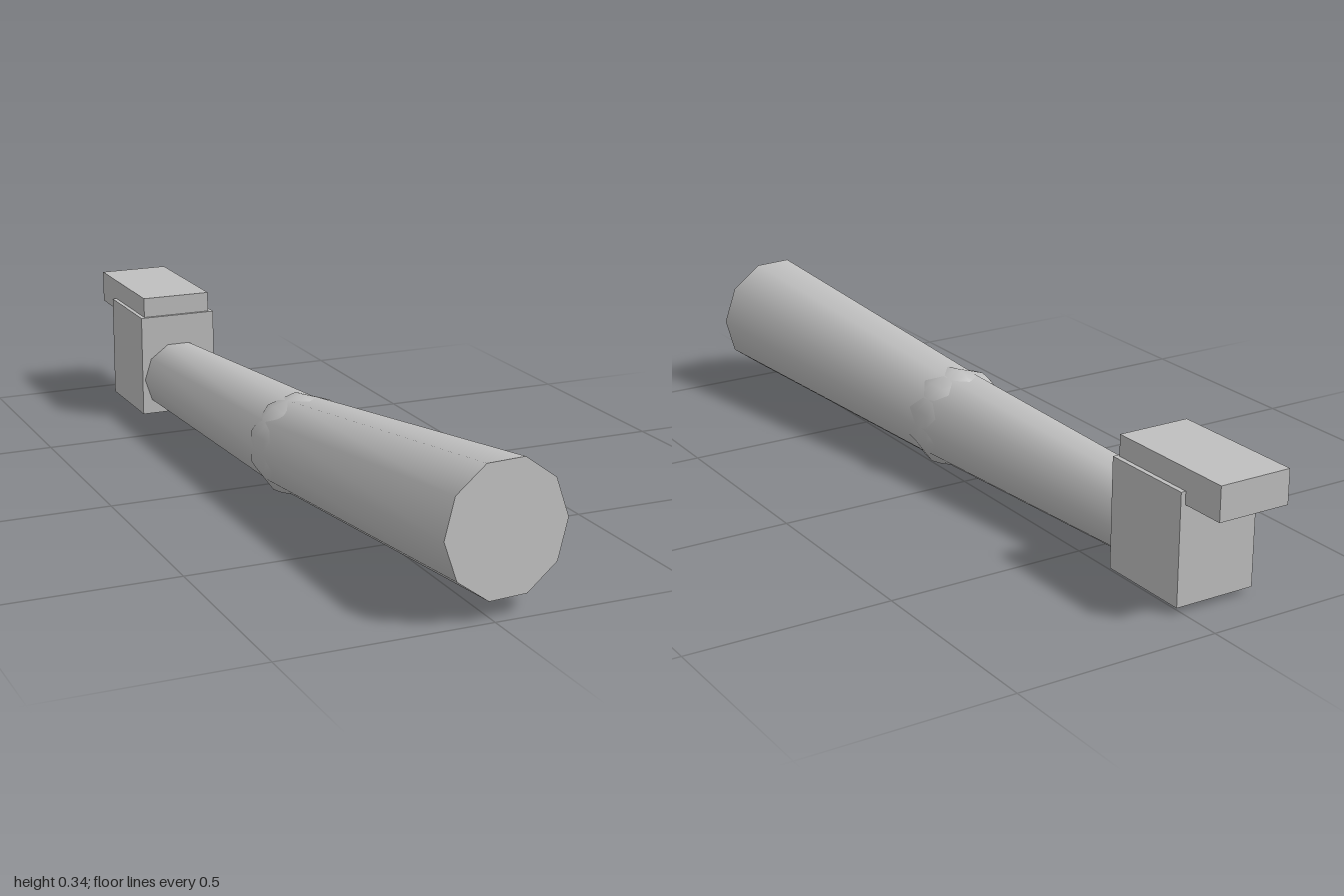
import * as THREE from 'three';

const SIDES = 10;

export function createModel() {
  const model = new THREE.Group();
  model.name = 'arm';
  const grey = new THREE.MeshStandardMaterial({ color: 0xbfbfbf });
  grey.name = 'grey';

  const add = (name, geometry) => {
    const mesh = new THREE.Mesh(geometry, grey);
    mesh.name = name;
    model.add(mesh);
    return mesh;
  };

  // Tapered ten-sided limb running from one point to another, flat side up
  const limb = (name, from, to, rFrom, rTo) => {
    const g = new THREE.CylinderGeometry(rTo, rFrom, from.distanceTo(to), SIDES, 1, false, Math.PI / 2);
    g.rotateX(Math.PI / 2);
    const mesh = add(name, g);
    mesh.position.copy(from).lerp(to, 0.5);
    mesh.lookAt(to);
  };

  // Box given by its lowest and highest corners
  const block = (name, min, max) => {
    const size = max.map((v, i) => v - min[i]);
    const mesh = add(name, new THREE.BoxGeometry(...size));
    mesh.position.set(...max.map((v, i) => (v + min[i]) / 2));
  };

  const shoulder = new THREE.Vector3(0.035, 0.193, 0.977);
  const elbow = new THREE.Vector3(-0.047, 0.13, 0.11);
  const wrist = new THREE.Vector3(-0.089, 0.112, -0.645);

  limb('upperArm', elbow, shoulder, 0.122, 0.155);
  limb('forearm', elbow, wrist, 0.121, 0.0975);

  // Elbow ball, poles along the arm, its edges poking through the limb facets
  const ball = new THREE.SphereGeometry(0.129, SIDES, 10, Math.PI / 2);
  ball.rotateX(Math.PI / 2);
  add('elbow', ball).position.copy(elbow);

  // Hand and the finger slab overhanging it
  block('hand', [-0.193, 0.016, -0.885], [0.014, 0.286, -0.64]);
  block('fingers', [-0.182, 0.255, -1.0], [0.002, 0.338, -0.648]);

  return model;
}
